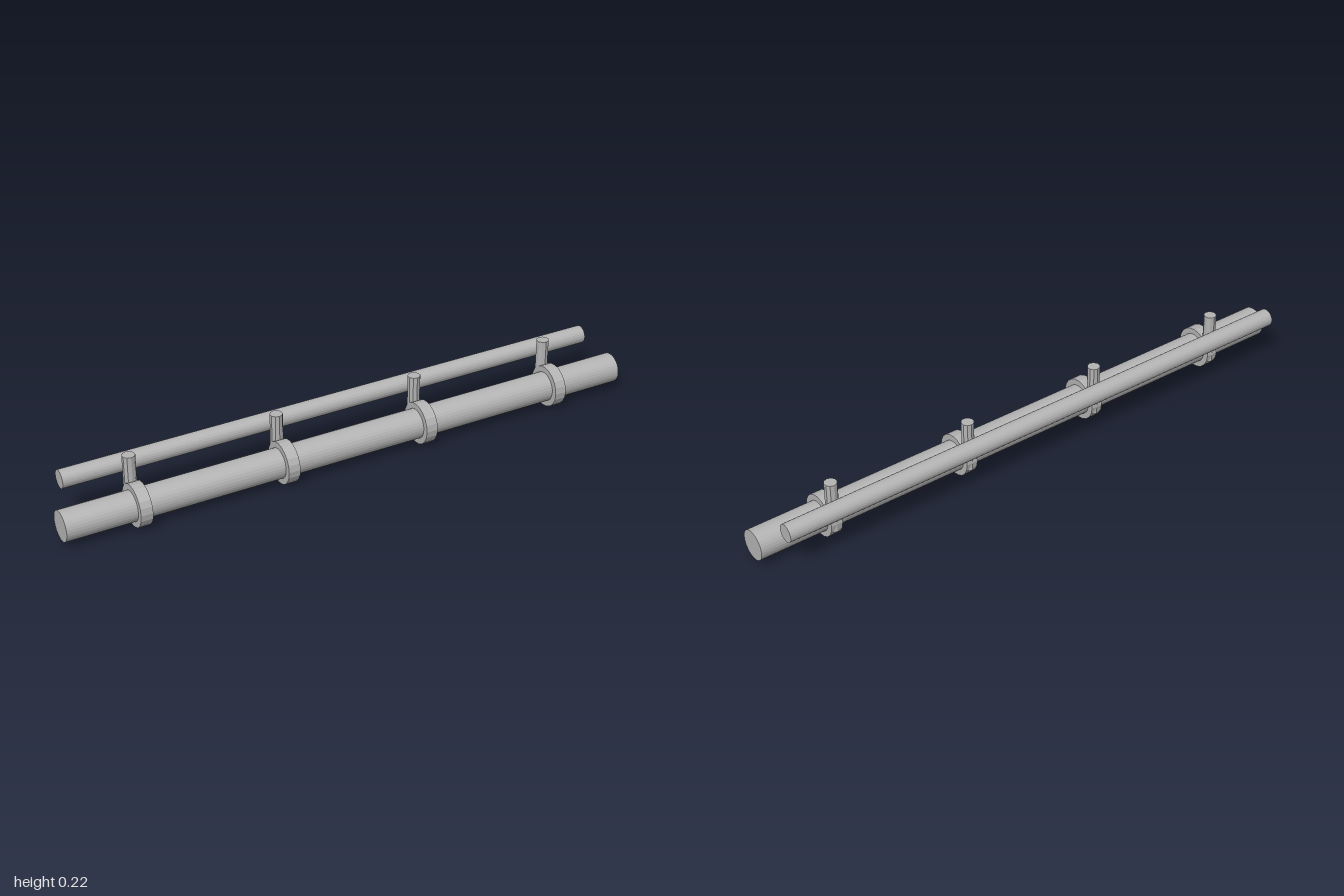
import * as THREE from 'three';

export function createModel() {
  const model = new THREE.Group();
  const steel = new THREE.MeshStandardMaterial({ color: 0xb4b4b4, flatShading: true });
  steel.name = 'grey steel';

  // Cylinder, either standing or lying along x
  function addCylinder(name, radius, length, sides, position, lying) {
    const geometry = new THREE.CylinderGeometry(radius, radius, length, sides);
    if (lying) geometry.rotateZ(Math.PI / 2);
    const mesh = new THREE.Mesh(geometry, steel);
    mesh.name = name;
    mesh.position.set(...position);
    model.add(mesh);
  }

  // Large front pipe and thin rear rail
  addCylinder('mainPipe', 0.05, 2, 32, [0, 0.07, 0.035], true);
  addCylinder('rearRail', 0.03, 1.9, 24, [-0.002, 0.16, -0.075], true);

  // Collars around the pipe, each with an upright post behind it
  for (const x of [-0.75, -0.25, 0.25, 0.75]) {
    addCylinder('collar', 0.07, 0.04, 20, [x, 0.07, 0.035], true);
    addCylinder('post', 0.021, 0.175, 10, [x, 0.13, -0.014], false);
  }

  return model;
}
